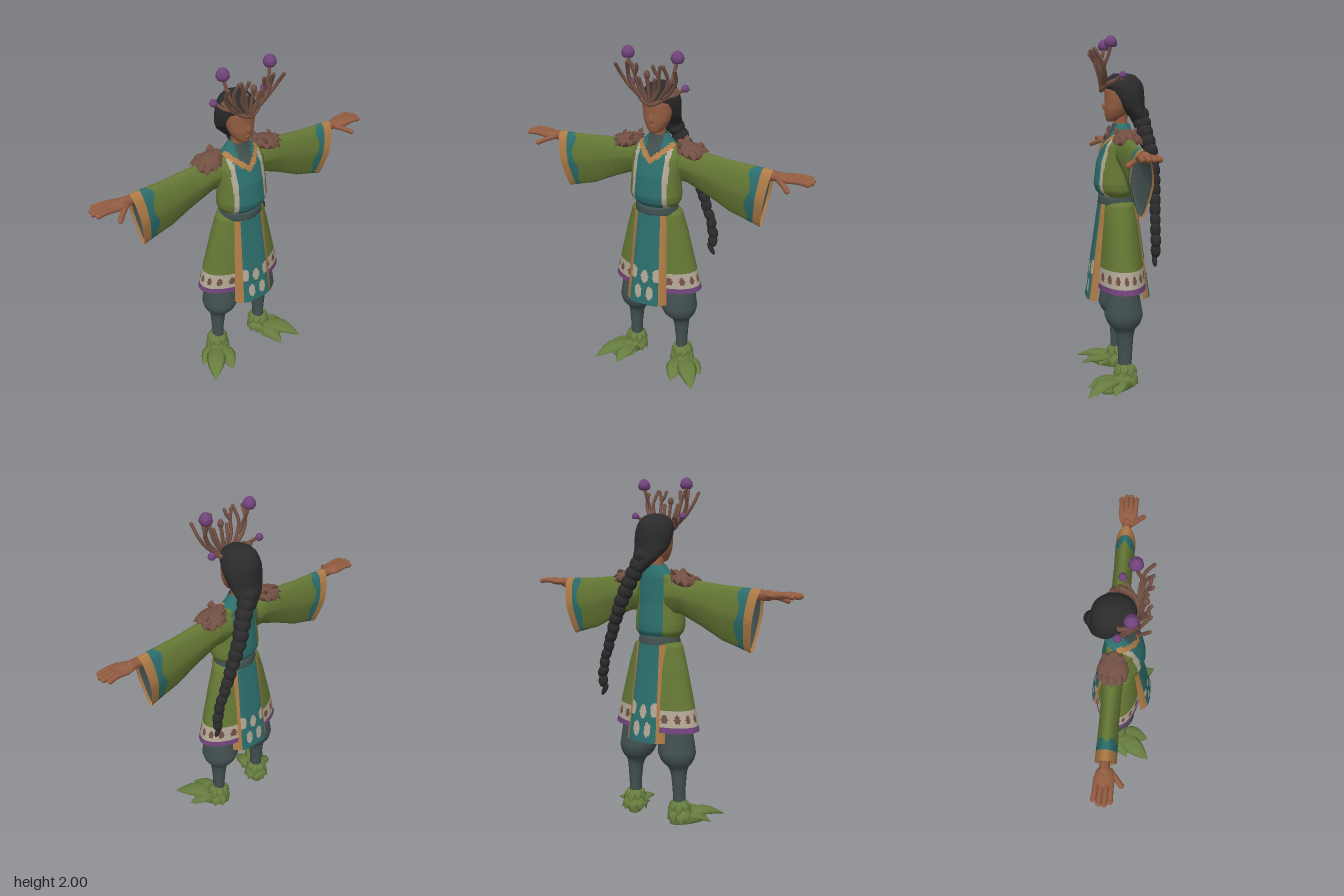
import * as THREE from 'three';

const mat = (name, color) => new THREE.MeshStandardMaterial({ name, color, side: THREE.DoubleSide });
const M = {
  green: mat('robe green', 0x657835), teal: mat('teal', 0x2c6e6c), orange: mat('ochre trim', 0xae7b46),
  slate: mat('slate cloth', 0x425050), skin: mat('skin', 0x945d42), hair: mat('hair black', 0x2b2b2c),
  brown: mat('bark brown', 0x725043), cream: mat('cream', 0xb1a795), purple: mat('purple', 0x71437b),
  leaf: mat('leaf green', 0x677d3f),
};
const V = (x, y, z) => new THREE.Vector3(x, y, z);
const lerp = THREE.MathUtils.lerp;

function add(parent, name, geo, material) {
  const m = new THREE.Mesh(geo, material);
  m.name = name;
  parent.add(m);
  return m;
}

// Grid surface from a rule; each face takes the material returned by paint
function surf(parent, name, rows, cols, fn, paint, closed = true) {
  const n = closed ? cols : cols + 1, pos = [], buckets = new Map();
  for (let i = 0; i <= rows; i++) for (let j = 0; j < n; j++) pos.push(...fn(i / rows, j / cols));
  for (let i = 0; i < rows; i++) for (let j = 0; j < cols; j++) {
    const u = (i + 0.5) / rows, v = (j + 0.5) / cols;
    const m = paint.isMaterial ? paint : paint(...fn(u, v), u, v);
    const k = (j + 1) % n, a = i * n + j, b = i * n + k, c = a + n, d = b + n;
    if (!buckets.has(m)) buckets.set(m, []);
    buckets.get(m).push(a, b, c, b, d, c);
  }
  const geo = new THREE.BufferGeometry(), index = [], mats = [];
  for (const [m, list] of buckets) {
    geo.addGroup(index.length, list.length, mats.length);
    mats.push(m);
    for (const t of list) index.push(t);
  }
  geo.setAttribute('position', new THREE.Float32BufferAttribute(pos, 3));
  geo.setIndex(index);
  geo.computeVertexNormals();
  return add(parent, name, geo, mats.length > 1 ? mats : mats[0]);
}

// Read a table of sections at key k (first column, ascending), linearly between rows
function at(table, k) {
  let i = 1;
  while (i < table.length - 1 && k > table[i][0]) i++;
  const a = table[i - 1], b = table[i], t = (k - a[0]) / (b[0] - a[0]);
  return a.map((q, n) => lerp(q, b[n], t));
}

// Oval stack; sections are [y, centre x, half width, back z, front z]
function shell(parent, name, sec, rows, cols, paint) {
  return surf(parent, name, rows, cols, (u, v) => {
    const [y, cx, hx, z0, z1] = at(sec, lerp(sec[0][0], sec[sec.length - 1][0], u));
    const a = v * Math.PI * 2;
    return [cx + hx * Math.sin(a), y, (z0 + z1) / 2 + (z1 - z0) / 2 * Math.cos(a)];
  }, paint);
}

function ball(parent, name, p, r, material) {
  const m = add(parent, name, new THREE.SphereGeometry(1, 16, 10), material);
  m.position.set(...p);
  m.scale.set(...r);
  return m;
}

function tube(parent, name, pts, r, material) {
  const curve = new THREE.CatmullRomCurve3(pts.map(p => V(...p)));
  add(parent, name, new THREE.TubeGeometry(curve, 12, r, 7), material);
  ball(parent, name + 'Tip', pts[pts.length - 1], [r, r, r], material);
}

// Pointed leaf lying between two points
function leaf(parent, name, from, to, w, material) {
  const a = V(...from), b = V(...to), len = a.distanceTo(b);
  const m = surf(parent, name, 6, 8, (u, v) => {
    const p = Math.sin(Math.PI * (0.15 + 0.85 * u)) * (u < 1 ? 1 : 0), t = v * Math.PI * 2;
    return [w * p * Math.cos(t), w * p * 0.3 * Math.sin(t) + len * 0.1 * Math.sin(Math.PI * u), u * len];
  }, material);
  parent.remove(m);
  m.position.copy(a);
  m.lookAt(b);
  parent.add(m);
}

function buildRobe(g) {
  // Bodice with front placket and crossed collar
  shell(g, 'bodice', [[1.1, 0, .12, -.085, .09], [1.14, 0, .15, -.11, .125], [1.18, 0, .155, -.11, .135],
    [1.3, 0, .145, -.095, .12], [1.4, 0, .15, -.09, .085], [1.45, 0, .13, -.09, .05],
    [1.48, 0, .085, -.085, .035], [1.52, 0, .048, -.07, .026]], 48, 96, (x, y, z) => {
    const ax = Math.abs(x), d = y - (1.365 + .85 * ax);
    if (z > -.02 && d > 0) return d < .038 ? M.orange : ax > .045 ? M.teal : M.slate;
    if (y > 1.47) return M.teal;
    return ax < .082 ? M.teal : ax < .108 && z > -.02 ? M.cream : M.green;
  });
  shell(g, 'belt', [[1.055, 0, .125, -.1, .1], [1.06, 0, .13, -.108, .112],
    [1.115, 0, .122, -.1, .11], [1.12, 0, .11, -.09, .09]], 6, 32, M.slate);
  // Skirt with patterned hem
  shell(g, 'skirt', [[.575, 0, .28, -.165, .125], [.95, 0, .188, -.12, .1],
    [1.06, 0, .155, -.105, .095], [1.085, 0, .12, -.095, .09]], 64, 180, (x, y, z, u, v) => {
    if (y < .605) return M.purple;
    if (y > .703) return M.green;
    const f = (v * 18) % 1 - .5;
    return (f / .26) ** 2 + ((y - .652) / .024) ** 2 < 1 ? M.brown : M.cream;
  });
  // Long front and back panels with spotted ends
  const spots = [[0, .685], [.072, .7], [.037, .585]];
  for (const s of [1, -1]) surf(g, s > 0 ? 'frontPanel' : 'backPanel', 70, 48, (u, v) => {
    const t = v * 2 - 1, y = lerp(1.07, .51, u);
    return [t * lerp(.1, .132, u), y, s * (lerp(.108, .188, u) - lerp(.025, .055, u) * t ** 4)];
  }, (x, y, z, u, v) => {
    const ax = Math.abs(x);
    if (Math.abs(v * 2 - 1) > .72) return M.orange;
    return spots.some(([a, b]) => ((ax - a) / .023) ** 2 + ((y - b) / .042) ** 2 < 1) ? M.cream : M.teal;
  }, false);
}

function buildArm(g, s) {
  // Hanging sleeve: [x, top y, bottom y, half depth]
  const sec = [[.09, 1.44, 1.25, .06], [.17, 1.452, 1.25, .06], [.3, 1.44, 1.195, .053],
    [.45, 1.425, 1.125, .053], [.668, 1.415, 1.07, .058]];
  const sleeve = inset => (u, v) => {
    const x = lerp(.09, .668, u), [, top, bot, hz] = at(sec, x), a = v * Math.PI * 2, c = Math.cos(a);
    const taper = c < 0 ? 1 + .45 * c : 1;
    const slant = .05 * (1 - c) / 2 * u ** 3;
    return [s * (x - slant), (top + bot) / 2 + ((top - bot) / 2 - inset) * c, -.03 + (hz - inset) * Math.sin(a) * taper];
  };
  surf(g, 'sleeve', 72, 48, sleeve(0), (x, y, z, u, v) =>
    u > .908 ? M.orange : u > .81 + .025 * Math.cos(v * Math.PI * 10) ? M.teal : M.green);
  surf(g, 'sleeveLining', 16, 32, (u, v) => sleeve(.006)(u * .97, v), M.slate);
  // Forearm and hand
  tube(g, 'forearm', [[s * .4, 1.375, -.03], [s * .58, 1.38, -.03], [s * .71, 1.385, -.03]], .028, M.skin);
  ball(g, 'palm', [s * .75, 1.386, -.027], [.068, .021, .049], M.skin);
  for (let i = 0; i < 4; i++) {
    const z = -.066 + i * .026, tip = [.858, .876, .878, .865][i];
    tube(g, 'finger', [[s * .75, 1.387, z], [s * .82, 1.393, z * 1.02], [s * tip, 1.388, z * 1.08]], .0145, M.skin);
  }
  tube(g, 'thumb', [[s * .7, 1.38, -.005], [s * .74, 1.368, .03], [s * .775, 1.352, .062]], .0145, M.skin);
  // Ragged bark shoulder guard draped over the shoulder
  const guard = ball(g, 'shoulderGuard', [s * .195, 1.44, -.03], [.088, .042, .07], M.brown);
  guard.rotation.z = -s * .25;
  for (let i = 0; i < 12; i++) {
    const a = i / 12 * Math.PI * 2, c = Math.cos(a), d = Math.sin(a), low = Math.abs(d);
    leaf(g, 'shoulderSpike', [s * (.19 + .04 * c), 1.468 - .012 * c, -.03 + .04 * d],
      [s * (.2 + .095 * c), 1.465 - .02 * c - .055 * low + (i % 2) * .012, -.03 + .085 * d], .027, M.brown);
  }
  for (const [x, z] of [[.15, .02], [.2, -.02], [.15, -.07], [.24, -.05]])
    leaf(g, 'shoulderTuft', [s * x, 1.455, z], [s * (x - .01), 1.505 - (x - .15) * .2, z * 1.3], .022, M.brown);
}

function buildLeg(g, s) {
  // Baggy trouser gathered below the knee
  shell(g, 'trouserLeg', [[.09, s * .16, .034, -.06, .015], [.2, s * .16, .036, -.065, .017], [.3, s * .158, .045, -.072, .025],
    [.345, s * .152, .058, -.08, .035], [.38, s * .145, .095, -.115, .075], [.43, s * .14, .112, -.13, .093],
    [.49, s * .135, .11, -.12, .085], [.58, s * .125, .108, -.105, .065], [.75, s * .09, .09, -.09, .06]], 33, 28, M.slate);
  // Leaf shoe, toes turned outward
  const foot = new THREE.Group();
  foot.name = 'leafShoe';
  foot.position.set(s * .165, 0, -.025);
  foot.rotation.y = s * .58;
  shell(foot, 'shoeBody', [[0, 0, .05, -.06, .17], [.02, 0, .06, -.065, .18], [.05, 0, .052, -.06, .11],
    [.09, 0, .044, -.05, .055], [.14, 0, .037, -.04, .04]], 12, 24, M.leaf);
  for (const [x, z, w] of [[.015, .295, .062], [-.1, .205, .055], [.095, .165, .045], [-.09, .09, .035]])
    leaf(foot, 'toeLeaf', [s * x * .25, .05, .03], [s * x, .012, z], w, M.leaf);
  for (let i = 0; i < 9; i++) {
    const a = i / 9 * Math.PI * 2, c = Math.cos(a), d = Math.sin(a);
    leaf(foot, 'ankleLeaf', [.028 * d, .14, .028 * c], [.07 * d, .065 + (i % 2) * .02, .07 * c], .026, M.leaf);
    leaf(foot, 'heelLeaf', [.035 * c, .085, .035 * d], [.078 * c, .015, .07 * d], .032, M.leaf);
  }
  g.add(foot);
}

function buildHead(g) {
  shell(g, 'neck', [[1.46, 0, .046, -.07, .025], [1.52, 0, .038, -.06, .018], [1.6, 0, .04, -.06, .03]], 6, 20, M.skin);
  shell(g, 'face', [[1.53, 0, .008, .015, .05], [1.54, 0, .034, -.02, .062], [1.565, 0, .056, -.05, .068],
    [1.6, 0, .073, -.07, .072], [1.65, 0, .085, -.09, .07], [1.7, 0, .088, -.1, .072],
    [1.75, 0, .075, -.1, .06]], 22, 32, M.skin);
  ball(g, 'nose', [0, 1.618, .07], [.011, .022, .015], M.skin);
  ball(g, 'lips', [0, 1.578, .064], [.018, .008, .009], M.skin);
  // Swept-back hair
  shell(g, 'hair', [[1.5, .03, .038, -.185, -.1], [1.56, .01, .08, -.17, -.07], [1.61, 0, .1, -.16, 0],
    [1.66, 0, .108, -.157, .035], [1.7, 0, .108, -.155, .058], [1.73, 0, .102, -.15, .077], [1.76, 0, .09, -.135, .07],
    [1.785, 0, .066, -.11, .045], [1.8, 0, .035, -.08, .012], [1.804, 0, .001, -.04, -.038]], 36, 36, M.hair);
  // Plaited tail falling over one side
  const path = new THREE.CatmullRomCurve3([V(.02, 1.57, -.13), V(.07, 1.47, -.15), V(.125, 1.34, -.178),
    V(.18, 1.2, -.182), V(.225, 1.07, -.18), V(.268, .95, -.175), V(.283, .85, -.175), V(.275, .78, -.17)]);
  for (let i = 0; i < 16; i++) {
    const t = i / 15, p = path.getPointAt(t), r = i < 14 ? lerp(.053, .03, Math.min(1, t * 1.4)) : [.028, .015][i - 14];
    const bead = ball(g, 'braidKnot', [p.x, p.y, p.z], [r, .05 - t * .008, r], M.hair);
    bead.rotation.z = .3 + (i % 2 - .5) * .5;
  }
}

function buildCrown(g) {
  tube(g, 'crownBand', [[-.108, 1.77, -.01], [-.085, 1.745, .055], [0, 1.705, .09],
    [.085, 1.745, .055], [.108, 1.77, -.01]], .013, M.brown);
  tube(g, 'centreTwig', [[0, 1.71, .09], [0, 1.79, .1], [0, 1.865, .115]], .01, M.brown);
  ball(g, 'centreBud', [0, 1.872, .115], [.017, .023, .017], M.brown);
  // Antler twigs and mushrooms on each side
  const twigs = [
    [[.01, 1.715, .09], [.035, 1.79, .1], [.045, 1.85, .12]],
    [[.015, 1.72, .088], [.06, 1.8, .1], [.07, 1.87, .12], [.085, 1.925, .13]],
    [[.05, 1.735, .08], [.1, 1.8, .095], [.115, 1.86, .105], [.105, 1.93, .14]],
    [[.06, 1.735, .075], [.12, 1.785, .08], [.16, 1.85, .1], [.172, 1.915, .14]],
    [[.1, 1.79, .09], [.13, 1.85, .085], [.135, 1.9, .065], [.145, 1.955, .055]],
    [[.07, 1.745, .065], [.12, 1.755, .03], [.16, 1.79, -.005]],
    [[.07, 1.87, .12], [.052, 1.9, .13], [.048, 1.925, .14]],
  ];
  const cap = [[.001, -.026], [.026, -.03], [.036, -.014], [.033, .006], [.02, .024], [.001, .034]];
  for (const s of [1, -1]) {
    for (const t of twigs) tube(g, 'antlerTwig', t.map(([x, y, z]) => [s * x, y, z]), .0095, M.brown);
    for (const [x, y, z, k] of [[.145, 1.966, .055, 1], [.162, 1.79, -.008, .6]]) {
      const m = add(g, 'mushroomCap', new THREE.LatheGeometry(cap.map(p => new THREE.Vector2(...p)), 16), M.purple);
      m.position.set(s * x, y, z);
      m.scale.setScalar(k);
    }
  }
}

export function createModel() {
  const figure = new THREE.Group();
  figure.name = 'figure';
  buildRobe(figure);
  for (const s of [1, -1]) {
    buildArm(figure, s);
    buildLeg(figure, s);
  }
  buildHead(figure);
  buildCrown(figure);
  // The figure faces +x
  figure.rotation.y = Math.PI / 2;
  const model = new THREE.Group();
  model.name = 'robedFigure';
  model.add(figure);
  return model;
}
